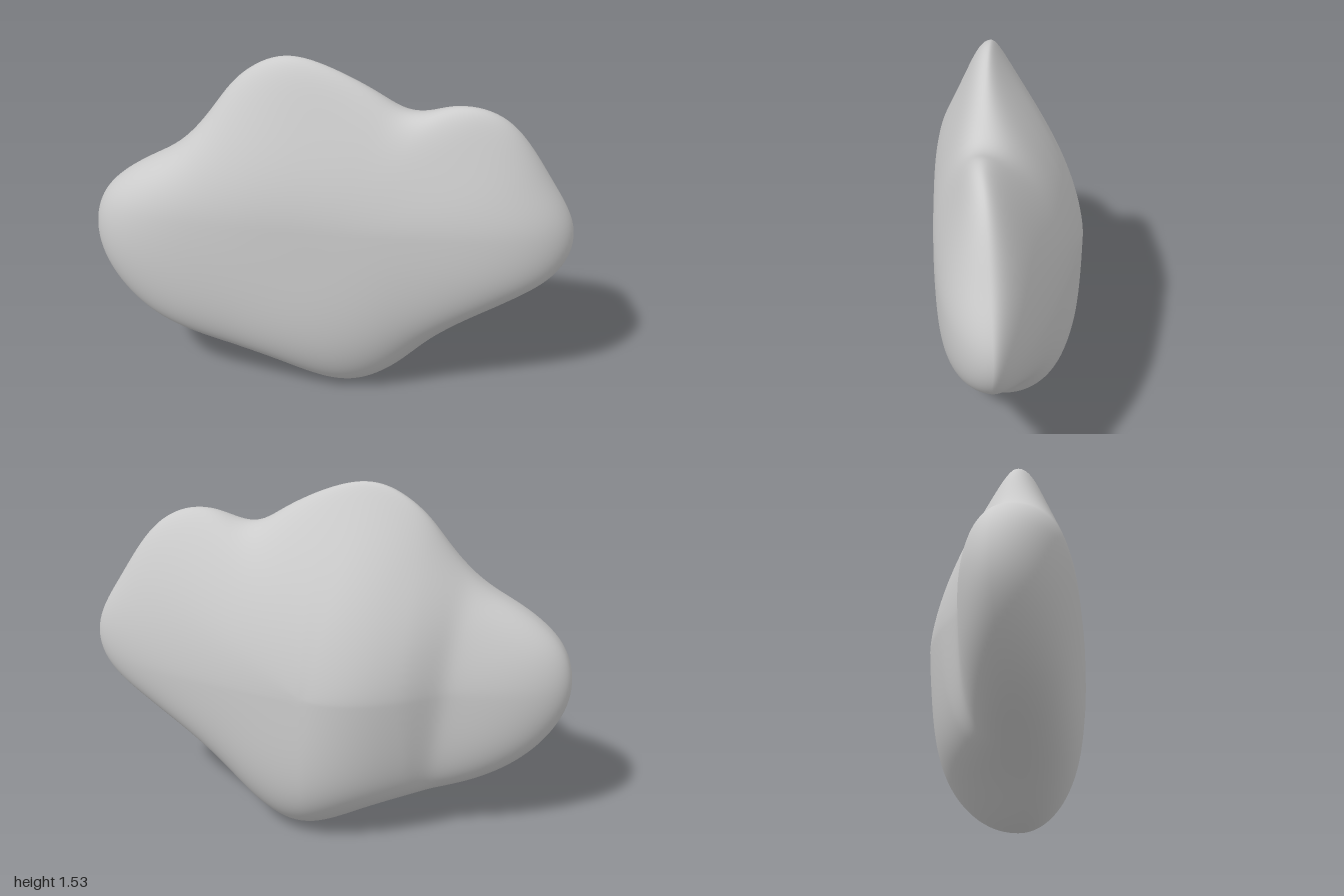
import * as THREE from 'three';

// Rim of the rock: x, y, z, clockwise as seen from the front
const RIM = [
  [-1.003, 0.68, 0.17], [-0.965, 0.85, 0.17], [-0.82, 0.985, 0.16], [-0.62, 1.105, 0.13],
  [-0.5, 1.24, 0.1], [-0.37, 1.42, 0.07], [-0.18, 1.526, 0.05], [0.01, 1.487, 0.03],
  [0.2, 1.39, 0], [0.34, 1.305, -0.02], [0.45, 1.35, -0.04], [0.56, 1.372, -0.05],
  [0.7, 1.325, -0.09], [0.8, 1.21, -0.12], [0.9, 1.04, -0.15], [0.98, 0.9, -0.17],
  [1.003, 0.77, -0.18], [0.95, 0.63, -0.16], [0.8, 0.51, -0.13], [0.6, 0.38, -0.1],
  [0.45, 0.26, -0.08], [0.31, 0.11, -0.06], [0.2, 0.025, -0.05], [0.09, -0.015, -0.04],
  [-0.05, 0.02, -0.01], [-0.22, 0.1, 0.04], [-0.4, 0.16, 0.08], [-0.6, 0.22, 0.12],
  [-0.75, 0.295, 0.15], [-0.88, 0.41, 0.16], [-0.97, 0.55, 0.17],
];
const CENTER = new THREE.Vector3(0, 0.72, 0);
const AROUND = 200;
const RINGS = 90;

const { smoothstep, clamp, lerp } = THREE.MathUtils;

// Front face: a slanted plane, thinner towards the top
const frontDepth = (x) => 0.26 - 0.2 * x - 0.15 * Math.max(0, -x - 0.5) ** 2;
const frontTaper = (y) => 1 - 0.4 * smoothstep(y, 0.85, 1.5);

// Back face: a thin side lobe, then a rounded step out to the thick body
function backDepth(x, y) {
  const lobe = Math.max(-0.06 - 0.2 * (x + 0.8), -0.14);
  const body = -0.372 + 0.04 * Math.max(x, 0) + 0.05 * x * Math.max(x, 0);
  const crease = -0.52 + 0.12 * (0.75 - y);
  const raw = (x - crease) / 0.48;
  const u = clamp((raw + Math.sqrt(raw * raw + 0.006)) / 2, 0, 1);
  return lerp(lobe, body, 1 - (1 - u) ** 2);
}
const backTaper = (y) => 1 - 1.06 * Math.max(0, y - 0.7) ** 1.5;

// Averages each point of a closed loop with its neighbours
function smoothLoop(points, reach) {
  return points.map((_, j) => {
    const sum = new THREE.Vector3();
    for (let k = -reach; k <= reach; k++) sum.add(points[(j + k + points.length) % points.length]);
    return sum.divideScalar(2 * reach + 1);
  });
}

function rockGeometry() {
  const curve = new THREE.CatmullRomCurve3(RIM.map((p) => new THREE.Vector3(...p)), true);
  const rim = smoothLoop(curve.getSpacedPoints(AROUND).slice(0, AROUND), 3);
  const inner = smoothLoop(rim, 18);
  const positions = [];
  const index = [];

  // One point: t runs from the front pole (0) over the rim (0.5) to the back pole (1);
  // the lobes and notches of the rim fade out towards the middle
  const addPoint = (j, t) => {
    const r = Math.sin(t * Math.PI);
    const p = inner[j].clone().lerp(rim[j], r ** 4);
    const x = lerp(CENTER.x, p.x, r);
    const y = lerp(CENTER.y, p.y, r);
    const isFront = t < 0.5;
    // Higher powers give the ends and the underside a fuller edge
    const power = 3.6 + 2.8 * smoothstep(Math.abs(x), 0.3, 1) + (isFront ? 1 : 2.4) * smoothstep(-y, -0.65, 0);
    const bulge = Math.sqrt(Math.max(0, 1 - r ** power)) * (isFront ? frontTaper(y) : backTaper(y));
    positions.push(x, y, lerp(p.z, isFront ? frontDepth(x) : backDepth(x, y), bulge));
  };

  addPoint(0, 0);
  for (let i = 1; i < RINGS; i++)
    for (let j = 0; j < AROUND; j++) addPoint(j, i / RINGS);
  addPoint(0, 1);

  const last = positions.length / 3 - 1;
  const at = (i, j) => (i === 0 ? 0 : i === RINGS ? last : 1 + (i - 1) * AROUND + (j % AROUND));
  for (let i = 0; i < RINGS; i++)
    for (let j = 0; j < AROUND; j++) {
      const a = at(i, j), b = at(i + 1, j), c = at(i + 1, j + 1), d = at(i, j + 1);
      if (i < RINGS - 1) index.push(a, c, b);
      if (i > 0) index.push(a, d, c);
    }

  const geometry = new THREE.BufferGeometry();
  geometry.setAttribute('position', new THREE.Float32BufferAttribute(positions, 3));
  geometry.setIndex(index);
  geometry.computeVertexNormals();
  return geometry;
}

export function createModel() {
  const group = new THREE.Group();
  group.name = 'smoothRock';
  const rock = new THREE.Mesh(rockGeometry(), new THREE.MeshStandardMaterial({ color: 0xcccccc }));
  rock.name = 'rockBody';
  group.add(rock);
  return group;
}
